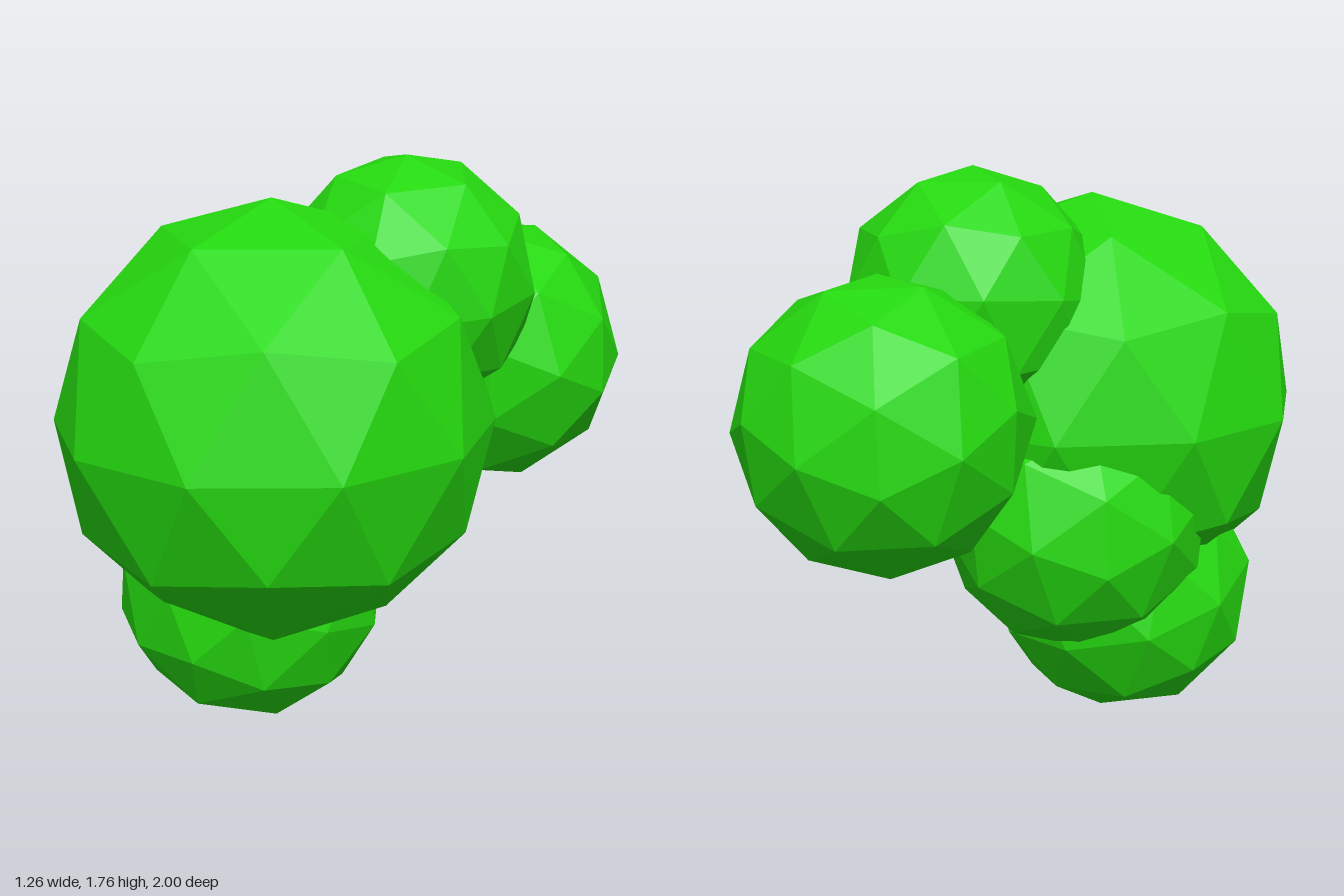
import * as THREE from 'three';

const green = new THREE.MeshStandardMaterial({ color: 0x25d80f });
green.name = 'leaf green';

// Orthonormal frame: first axis along a, second towards b
function frame(a, b) {
  const x = a.clone().normalize();
  const z = x.clone().cross(b).normalize();
  const y = z.clone().cross(x);
  return new THREE.Matrix4().makeBasis(x, y, z);
}

// Two neighbouring corners of the base icosahedron
const t = (1 + Math.sqrt(5)) / 2;
const baseInverse = frame(new THREE.Vector3(1, t, 0), new THREE.Vector3(-1, t, 0)).transpose();

// Faceted clump, turned so one corner points along a and its neighbour towards b
function clump(name, center, radius, a, b) {
  const geometry = new THREE.IcosahedronGeometry(radius, 1);
  geometry.applyMatrix4(frame(new THREE.Vector3(...a), new THREE.Vector3(...b)).multiply(baseInverse));
  geometry.computeVertexNormals(); // unshared corners keep the facets flat
  const mesh = new THREE.Mesh(geometry, green);
  mesh.name = name;
  mesh.position.set(...center);
  return mesh;
}

export function createModel() {
  const group = new THREE.Group();
  group.name = 'foliage';
  group.add(
    clump('mainClump', [0, 1, 0.333], 0.665, [0, 1, 0], [0.894, 0.447, 0]),
    clump('topClump', [0.05, 1.37, -0.13], 0.4, [0.1, 0.98, 0.1], [0.06, 0.53, -0.848]),
    clump('backClump', [-0.07, 1.07, -0.573], 0.437, [0.17, 0.14, -0.975], [0.105, -0.825, -0.555]),
    clump('lowerFrontClump', [-0.16, 0.415, 0.33], 0.425, [-0.05, -0.957, 0.29], [-0.03, -0.687, -0.726]),
    clump('lowerBackClump', [-0.18, 0.7, 0.085], 0.425, [0.02, 0.17, -0.985], [0.01, -0.81, -0.586]),
  );
  return group;
}
